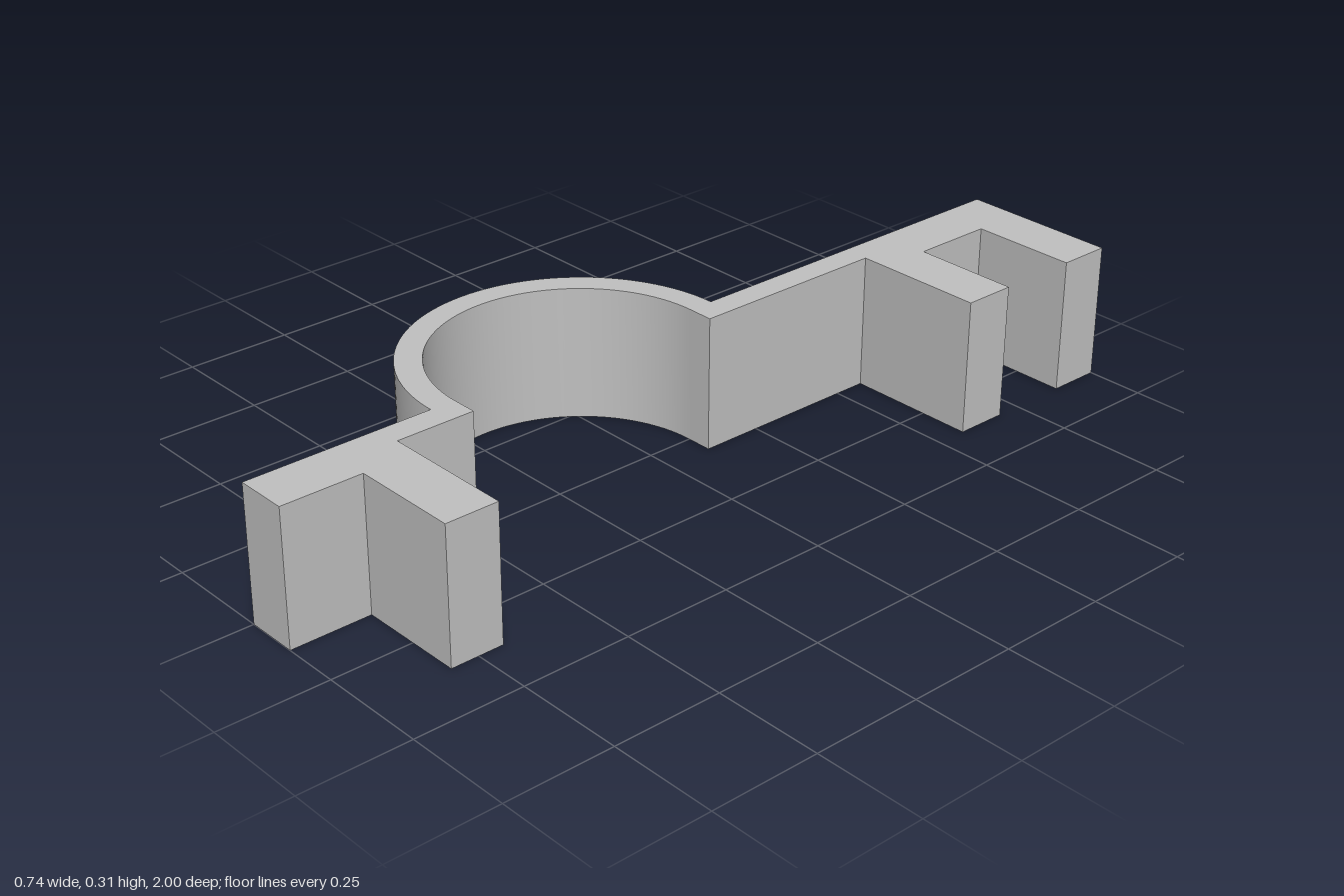
import * as THREE from 'three';
import { toCreasedNormals } from 'three/addons/utils/BufferGeometryUtils.js';

const HEIGHT = 0.307;
const RING_Z = 0.2, OUTER = 0.368, INNER = 0.31; // half ring
const WALL = 0.06, THICK = 0.12, REACH = 0.367;  // strip, blocks, prong length

// Plan outline of the clip: shape x is model x, shape y is model z
function clipOutline() {
  const s = new THREE.Shape();
  const lines = (pts) => pts.forEach(([x, z]) => s.lineTo(x, z));
  s.moveTo(0, -1);
  // rear fork with two prongs, then the thin strip
  lines([
    [REACH, -1], [REACH, -0.88], [THICK, -0.88], [THICK, -0.692],
    [REACH, -0.692], [REACH, -0.572], [WALL, -0.572],
    [WALL, RING_Z - INNER], [0, RING_Z - INNER],
  ]);
  // inside of the half ring
  s.absarc(0, RING_Z, INNER, -Math.PI / 2, -Math.PI * 1.5, true);
  // front strip with a single prong and end tab
  lines([
    [WALL, RING_Z + INNER], [WALL, 0.692], [REACH, 0.692], [REACH, 0.814],
    [THICK, 0.814], [THICK, 1], [0, 1], [0, RING_Z + OUTER],
  ]);
  // outside of the half ring
  s.absarc(0, RING_Z, OUTER, Math.PI / 2, Math.PI * 1.5, false);
  s.closePath();
  return s;
}

export function createModel() {
  const grey = new THREE.MeshStandardMaterial({ color: 0xc0c0c0 });
  grey.name = 'light grey';

  let geometry = new THREE.ExtrudeGeometry(clipOutline(), {
    depth: HEIGHT, bevelEnabled: false, curveSegments: 40,
  });
  geometry.rotateX(Math.PI / 2);      // lay the outline flat
  geometry.translate(0, HEIGHT, 0);   // stand it on the ground
  geometry = toCreasedNormals(geometry, 0.4);

  const clip = new THREE.Mesh(geometry, grey);
  clip.name = 'clipBracket';

  const model = new THREE.Group();
  model.name = 'pipeClip';
  model.add(clip);
  return model;
}
